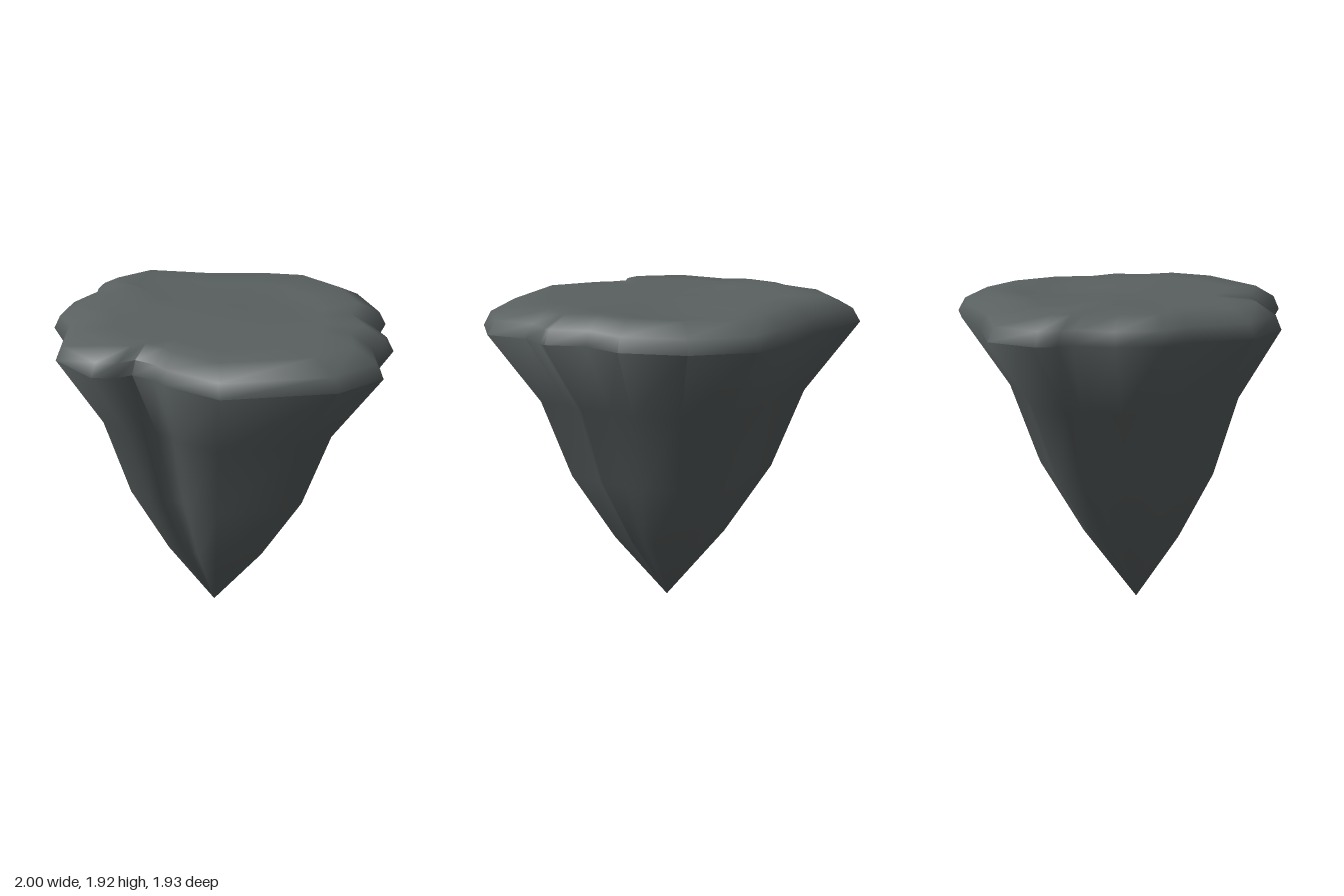
import * as THREE from 'three';
import { toCreasedNormals } from 'three/addons/utils/BufferGeometryUtils.js';

// Widest outline of the rock, as x, z pairs
const OUTLINE = [
  [-0.61, -0.97], [-0.14, -0.93], [0.26, -0.97], [0.54, -0.945], [0.82, -0.68],
  [0.96, -0.33], [0.91, -0.08], [1.0, 0.13], [0.99, 0.17], [0.91, 0.33], [0.94, 0.58],
  [0.7, 0.81], [0.08, 0.96], [-0.24, 0.78], [-0.3, 0.71], [-0.43, 0.64],
  [-0.52, 0.7], [-0.65, 0.7], [-0.89, 0.45], [-0.91, 0.08], [-1.0, -0.09],
  [-0.96, -0.35], [-0.84, -0.55], [-0.85, -0.64], [-0.83, -0.76],
];
const AXIS = { x: -0.04, z: 0.02 };
const TOP = 1.88;

// Rings of the body: height, scale of the outline about the axis
const BODY = [[0.42, 0.31], [0.84, 0.555], [1.31, 0.72], [1.73, 1], [1.81, 0.96], [TOP, 0.83]];
// Rings of the uneven top surface, by scale
const PLATEAU = [0.64, 0.44, 0.22];

const bell = (x, z, cx, cz, r) => Math.exp(-((x - cx) ** 2 + (z - cz) ** 2) / (r * r));

// A low mound on one side and a shallow dip on the other
const topHeight = (x, z) =>
  TOP + 0.046 * bell(x, z, -0.58, -0.3, 0.17) - 0.04 * bell(x, z, 0.4, -0.35, 0.35);

function rockGeometry() {
  const n = OUTLINE.length;
  const positions = [AXIS.x, 0, AXIS.z];
  const index = [];

  const addRing = (scale, height) => {
    for (const [ox, oz] of OUTLINE) {
      const x = AXIS.x + (ox - AXIS.x) * scale;
      const z = AXIS.z + (oz - AXIS.z) * scale;
      positions.push(x, height ?? topHeight(x, z), z);
    }
  };
  BODY.forEach(([y, s]) => addRing(s, y));
  PLATEAU.forEach((s) => addRing(s));
  positions.push(AXIS.x, topHeight(AXIS.x, AXIS.z), AXIS.z);

  const rings = BODY.length + PLATEAU.length;
  const centre = 1 + rings * n;
  for (let i = 0; i < n; i++) {
    const j = (i + 1) % n;
    index.push(0, 1 + i, 1 + j); // pointed tip
    for (let r = 0; r < rings - 1; r++) {
      const a = 1 + r * n + i, b = 1 + r * n + j;
      index.push(a, a + n, b, b, a + n, b + n);
    }
    const last = 1 + (rings - 1) * n;
    index.push(last + i, centre, last + j); // middle of the top
  }

  const geometry = new THREE.BufferGeometry();
  geometry.setAttribute('position', new THREE.Float32BufferAttribute(positions, 3));
  geometry.setIndex(index);
  return toCreasedNormals(geometry, 1.15);
}

export function createModel() {
  const group = new THREE.Group();
  group.name = 'floatingRock';
  const stone = new THREE.MeshStandardMaterial({ color: 0x5a6060 });
  stone.name = 'dark grey stone';
  const rock = new THREE.Mesh(rockGeometry(), stone);
  rock.name = 'rock';
  group.add(rock);
  return group;
}
